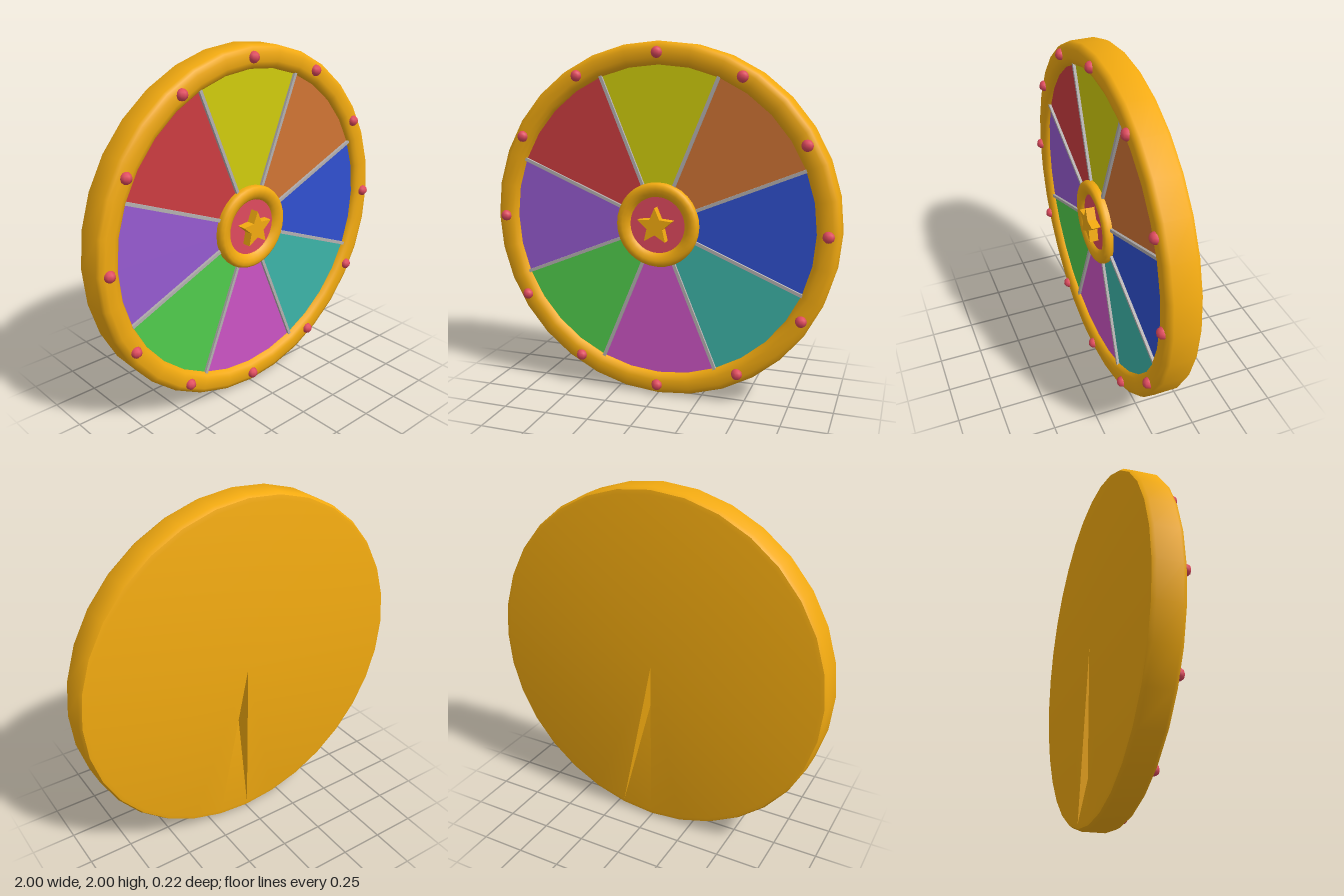
import * as THREE from 'three';
import { toCreasedNormals } from 'three/addons/utils/BufferGeometryUtils.js';

const SIDES = 32;
const mat = (color) => new THREE.MeshStandardMaterial({ color });
const gold = mat(0xf2aa10);
const red = mat(0xe04a5e);
const grey = mat(0xb4b0b0);

// Lathe turned so that its axis points to +z; profile is [radius, z] from back to front
function turned(profile) {
  const g = new THREE.LatheGeometry(profile.map(([r, z]) => new THREE.Vector2(r, z)), SIDES);
  return g.rotateX(Math.PI / 2);
}

export function createModel() {
  const root = new THREE.Group();
  const wheel = new THREE.Group();
  wheel.name = 'wheel';
  wheel.position.y = 1;
  root.add(wheel);

  const add = (name, geometry, material) => {
    const m = new THREE.Mesh(geometry, material);
    m.name = name;
    wheel.add(m);
    return m;
  };

  // Rim and back plate in one turned body
  const bodyProfile = [
    [0, -0.11], [0.965, -0.11], [0.988, -0.105], [1, -0.085],
    [1, 0.045], [0.99, 0.064], [0.965, 0.075], [0.915, 0.075],
    [0.89, 0.066], [0.877, 0.05], [0.873, 0.03], [0, 0.03],
  ];
  const body = turned(bodyProfile);
  // One wedge of the back plate sinks inwards at the centre
  body.attributes.position.setZ(bodyProfile.length, 0.05);
  const bodyMaterial = gold.clone();
  bodyMaterial.side = THREE.DoubleSide;
  add('rimAndBackPlate', toCreasedNormals(body, 0.7), bodyMaterial);

  // Eight coloured sectors, clockwise from the top
  const colors = [0xd0cc0c, 0xd07434, 0x3050d0, 0x3cb4a8, 0xcc54c4, 0x50cc4c, 0x965ad0, 0xcc3c40];
  colors.forEach((color, i) => {
    const mid = Math.PI / 2 - (i * Math.PI) / 4;
    const sector = new THREE.CircleGeometry(0.877, 4, mid - Math.PI / 8, Math.PI / 4);
    add('sector', sector.translate(0, 0, 0.04), mat(color));

    // Divider bar between this sector and the next
    const bar = new THREE.BoxGeometry(0.68, 0.018, 0.03);
    bar.translate(0.54, 0, 0.04).rotateZ(mid - Math.PI / 8);
    add('divider', bar, grey);
  });

  // Hub ring with a rounded lip
  const hub = turned([
    [0.236, 0.03], [0.24, 0.06], [0.234, 0.078], [0.22, 0.088],
    [0.2, 0.088], [0.18, 0.082], [0.164, 0.07], [0.155, 0.055],
  ]);
  add('hubRing', hub, gold);
  add('hubDisc', new THREE.CircleGeometry(0.16, SIDES).translate(0, 0, 0.062), red);

  // Five-pointed star
  const star = new THREE.Shape();
  for (let i = 0; i < 10; i++) {
    const r = i % 2 ? 0.048 : 0.105;
    const a = Math.PI / 2 + (i * Math.PI) / 5;
    star[i ? 'lineTo' : 'moveTo'](r * Math.cos(a), r * Math.sin(a));
  }
  star.closePath();
  const starGeometry = new THREE.ExtrudeGeometry(star, { depth: 0.055, bevelEnabled: false });
  add('star', starGeometry.translate(0, 0, 0.058), gold);

  // Twelve bulbs around the rim
  const bulb = new THREE.SphereGeometry(0.032, 8, 6);
  for (let i = 0; i < 12; i++) {
    const a = (i * Math.PI) / 6;
    add('bulb', bulb, red).position.set(0.94 * Math.cos(a), 0.94 * Math.sin(a), 0.075);
  }
  return root;
}
